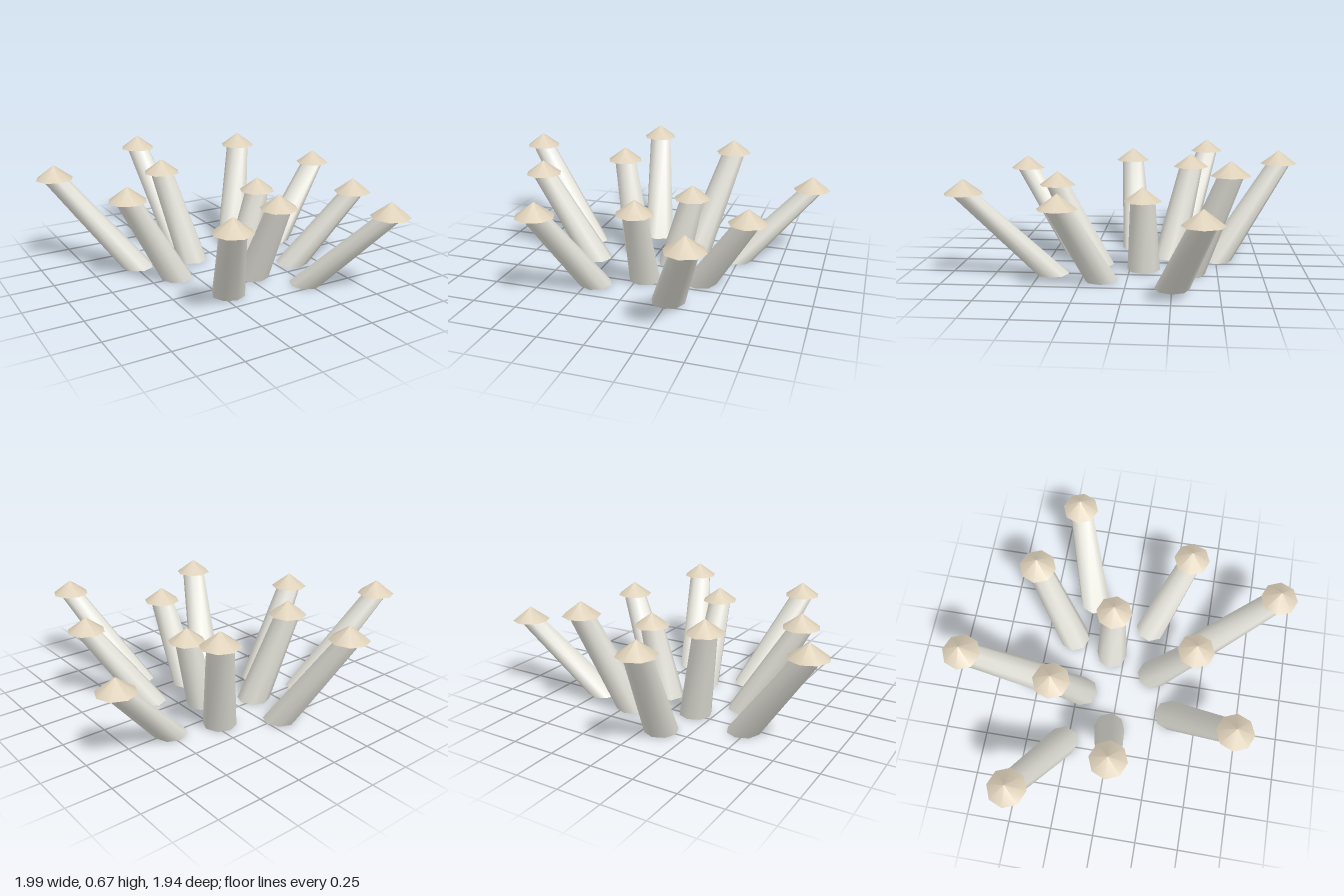
import * as THREE from 'three';
import { mergeVertices } from 'three/addons/utils/BufferGeometryUtils.js';

const SIDES = 8;
const CAP_RADIUS = 0.107, CAP_HEIGHT = 0.08;
const BASE_RADIUS = 0.094, NECK_RADIUS = 0.07;

// Each mushroom: base x, base z, cap x, cap z, tip height
const MUSHROOMS = [
  [-0.09, -0.5, -0.2, -0.865, 0.655],
  [-0.475, -0.28, -0.89, -0.455, 0.64],
  [-0.14, -0.22, -0.27, -0.345, 0.62],
  [0.21, -0.335, 0.38, -0.55, 0.67],
  [0.485, -0.25, 0.89, -0.4, 0.52],
  [0.135, -0.08, 0.24, -0.08, 0.5],
  [-0.345, -0.015, -0.65, 0.04, 0.605],
  [0.04, 0.195, 0.06, 0.425, 0.555],
  [0.355, 0.14, 0.645, 0.325, 0.535],
  [-0.205, 0.34, -0.385, 0.695, 0.585],
  [0.25, 0.43, 0.455, 0.86, 0.57],
];

// Open tapered tube, sheared so both ends stay level
function stemGeometry(height, dx, dz) {
  const tube = new THREE.CylinderGeometry(NECK_RADIUS, BASE_RADIUS, height, SIDES, 1, true);
  tube.translate(0, height / 2, 0);
  tube.deleteAttribute('normal');
  tube.deleteAttribute('uv');
  const geometry = mergeVertices(tube);
  const p = geometry.attributes.position;
  for (let i = 0; i < p.count; i++) {
    const t = p.getY(i) / height;
    p.setX(i, p.getX(i) + dx * t);
    p.setZ(i, p.getZ(i) + dz * t);
  }
  geometry.computeVertexNormals();
  return geometry;
}

export function createModel() {
  const model = new THREE.Group();
  model.name = 'mushroomCluster';
  const stemMaterial = new THREE.MeshStandardMaterial({ color: 0xe6e5dc, side: THREE.DoubleSide });
  const capMaterial = new THREE.MeshStandardMaterial({ color: 0xdccfb8 });
  const capGeometry = new THREE.ConeGeometry(CAP_RADIUS, CAP_HEIGHT, SIDES);
  capGeometry.translate(0, CAP_HEIGHT / 2, 0);

  for (const [baseX, baseZ, capX, capZ, tip] of MUSHROOMS) {
    const mushroom = new THREE.Group();
    mushroom.name = 'mushroom';
    mushroom.position.set(baseX, 0, baseZ);
    const height = tip - CAP_HEIGHT, dx = capX - baseX, dz = capZ - baseZ;

    // Leaning stem
    const stem = new THREE.Mesh(stemGeometry(height, dx, dz), stemMaterial);
    stem.name = 'stem';

    // Level conical cap
    const cap = new THREE.Mesh(capGeometry, capMaterial);
    cap.name = 'cap';
    cap.position.set(dx, height, dz);

    mushroom.add(stem, cap);
    model.add(mushroom);
  }
  return model;
}
